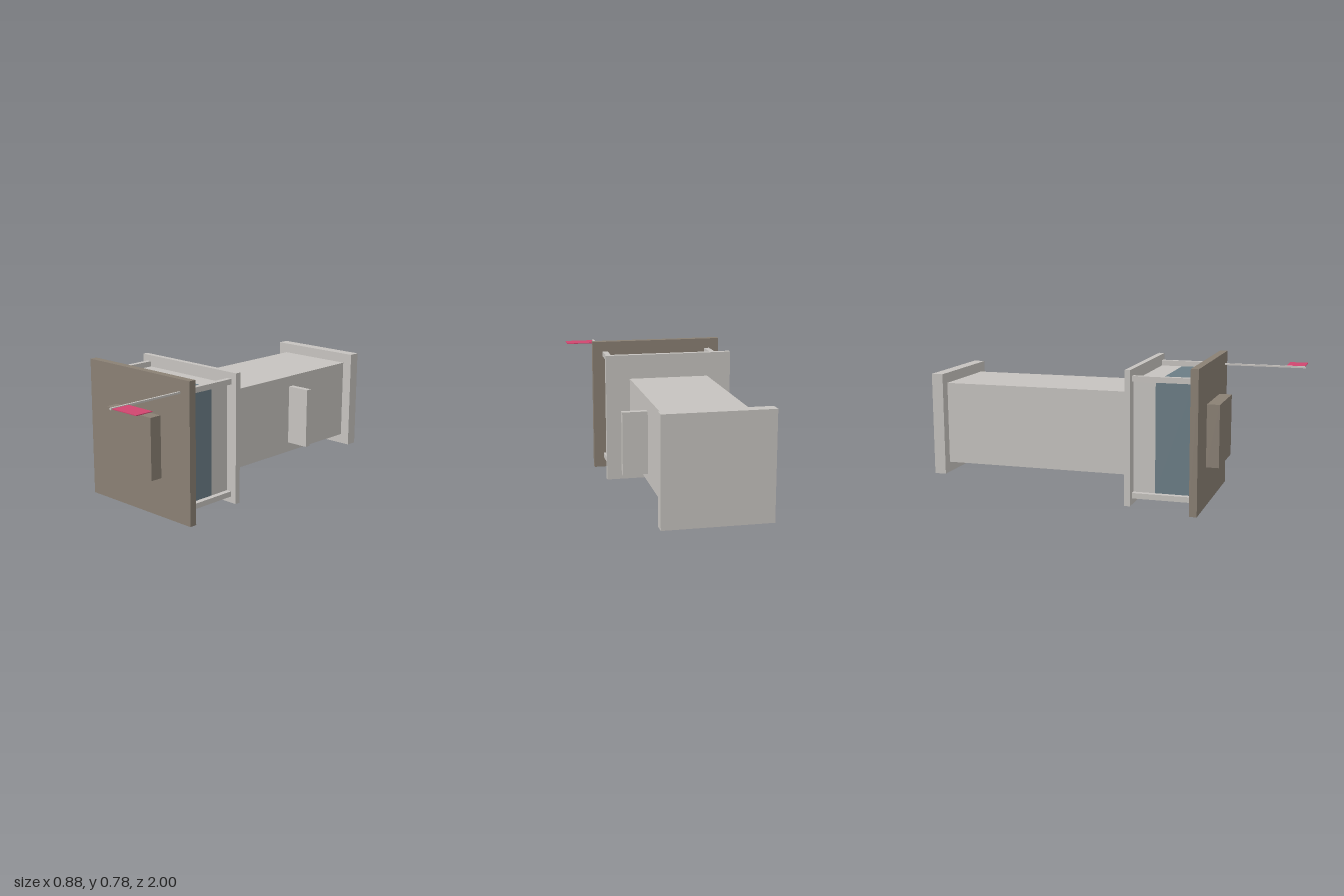
import * as THREE from 'three';

const flat = (name, color) => {
  const m = new THREE.MeshStandardMaterial({ color });
  m.name = name;
  return m;
};

export function createModel() {
  const stone = flat('pale stone', 0xc6c3bf);
  const brown = flat('roof brown', 0x8a8074);
  const glass = flat('blue glass', 0x6b7d86);
  const red = flat('flag red', 0xd0466f);

  const group = new THREE.Group();
  group.name = 'lyingTower';
  const CX = -0.055, CY = 0.389; // tower axis, running along z

  // Box given by its extents on each axis
  const box = (name, mat, [x0, x1], [y0, y1], [z0, z1]) => {
    const mesh = new THREE.Mesh(new THREE.BoxGeometry(x1 - x0, y1 - y0, z1 - z0), mat);
    mesh.position.set((x0 + x1) / 2, (y0 + y1) / 2, (z0 + z1) / 2);
    mesh.name = name;
    group.add(mesh);
  };
  // Square slab of the tower, centred on its axis
  const slab = (name, mat, size, z0, z1) => {
    const h = size / 2;
    box(name, mat, [CX - h, CX + h], [CY - h, CY + h], [z0, z1]);
  };

  // Tower from foot to top
  slab('base', stone, 0.57, -1, -0.935);
  slab('shaft', stone, 0.456, -0.935, 0.145);
  slab('gallery', stone, 0.73, 0.143, 0.175);
  slab('lanternWall', stone, 0.6, 0.175, 0.295);
  slab('lanternGlass', glass, 0.6, 0.295, 0.5);
  slab('roof', brown, 0.777, 0.5, 0.542);
  slab('roofCap', brown, 0.343, 0.542, 0.612);

  // Corner posts of the lantern
  for (const sx of [-1, 1]) for (const sy of [-1, 1]) {
    const x = CX + sx * 0.315, y = CY + sy * 0.315;
    box('lanternPost', stone, [x - 0.015, x + 0.015], [y - 0.015, y + 0.015], [0.175, 0.5]);
  }

  // Thin pin just under the gallery, showing at both sides
  box('pin', stone, [CX - 0.234, CX + 0.234], [CY - 0.005, CY + 0.005], [0.131, 0.143]);

  // Door near the foot and the detached side panel
  box('door', brown, [CX - 0.06, CX + 0.06], [0.154, 0.163], [-0.935, -0.69]);
  box('sidePanel', stone, [0.183, 0.317], [0.222, 0.56], [-0.445, -0.411]);

  // Flag on its pole
  box('flagPole', stone, [0.258, 0.27], [0.704, 0.714], [0.542, 1]);
  box('flag', red, [0.27, 0.441], [0.707, 0.711], [0.89, 0.993]);

  return group;
}
